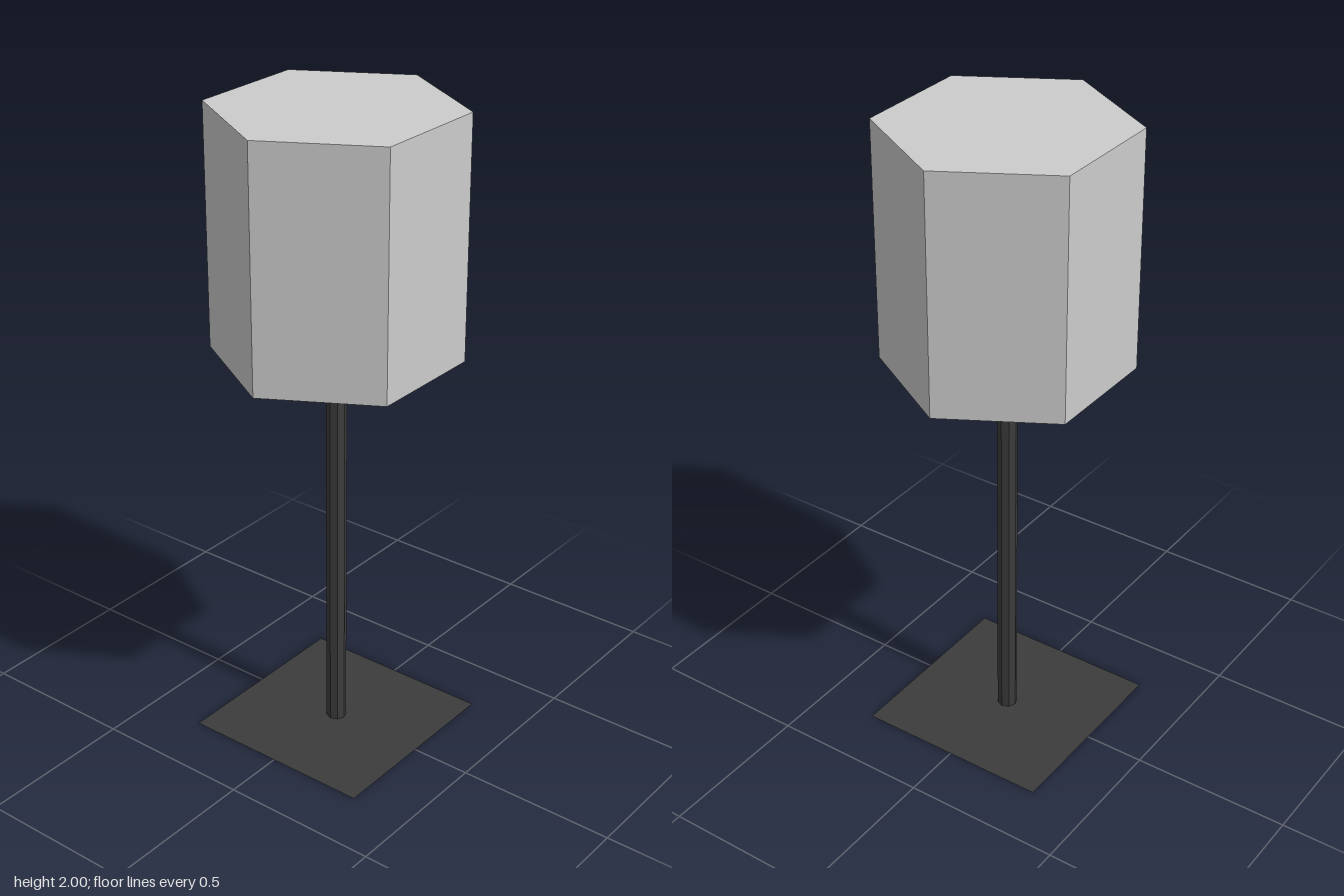
import * as THREE from 'three';

export function createModel() {
  const group = new THREE.Group();
  const grey = new THREE.MeshStandardMaterial({ color: 0xcccccc, flatShading: true, side: THREE.DoubleSide });
  const dark = new THREE.MeshStandardMaterial({ color: 0x3c3c3c, flatShading: true, side: THREE.DoubleSide });

  const add = (name, geometry, material, y) => {
    const mesh = new THREE.Mesh(geometry, material);
    mesh.name = name;
    mesh.position.y = y;
    group.add(mesh);
  };

  const radius = 0.372, top = 2, bottom = 1.26, recess = 1.35;

  // Hexagon lying flat with a corner towards the front
  const hexagon = () => new THREE.CircleGeometry(radius, 6, Math.PI / 2).rotateX(-Math.PI / 2);

  // Thin hexagonal head: open walls, closed top, recessed underside
  add('headWalls', new THREE.CylinderGeometry(radius, radius, top - bottom, 6, 1, true), grey, (top + bottom) / 2);
  add('headTop', hexagon(), grey, top);
  add('headUnderside', hexagon().rotateX(Math.PI), grey, recess);

  // Slim post up to the recessed underside
  add('post', new THREE.CylinderGeometry(0.031, 0.031, recess, 8), dark, recess / 2);

  // Flat square base sheet
  add('base', new THREE.PlaneGeometry(0.62, 0.62).rotateX(-Math.PI / 2), dark, 0);

  return group;
}
